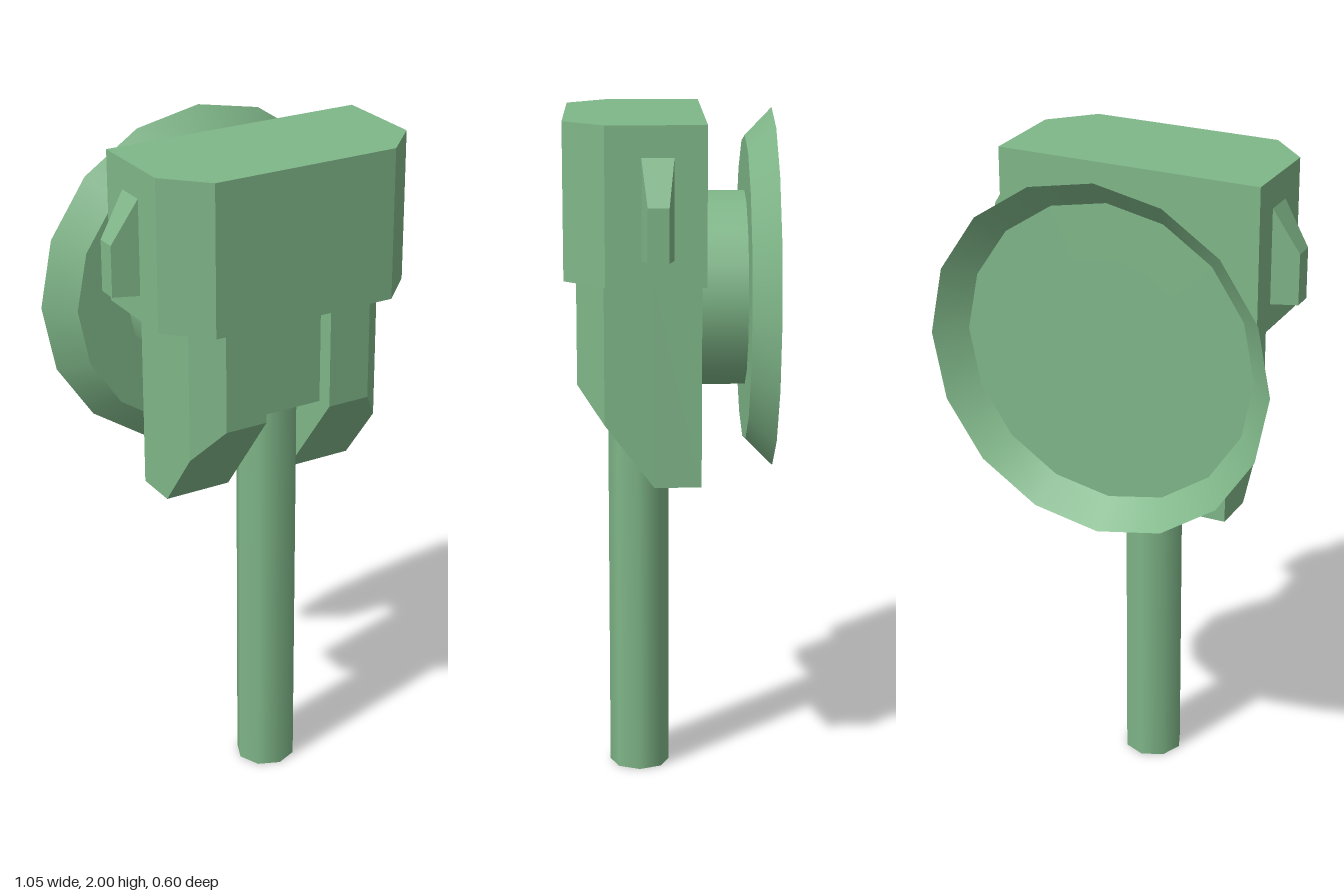
import * as THREE from 'three';
import { ConvexGeometry } from 'three/addons/geometries/ConvexGeometry.js';

const flat = new THREE.MeshStandardMaterial({ color: 0x7fb688, flatShading: true });
const smooth = new THREE.MeshStandardMaterial({ color: 0x7fb688 });
const thin = new THREE.MeshStandardMaterial({ color: 0x7fb688, side: THREE.DoubleSide });

// Upright prism from a plan outline of [x, z] points
function prism(plan, y0, y1) {
  const shape = new THREE.Shape(plan.map(([x, z]) => new THREE.Vector2(x, -z)));
  const geo = new THREE.ExtrudeGeometry(shape, { depth: y1 - y0, bevelEnabled: false });
  return geo.rotateX(-Math.PI / 2).translate(0, y0, 0);
}

export function createModel() {
  const model = new THREE.Group();
  model.name = 'dishOnPole';
  const add = (name, geo, mat, parent = model) => {
    const mesh = new THREE.Mesh(geo, mat);
    mesh.name = name;
    parent.add(mesh);
    return mesh;
  };

  // Pole, running up into the housing
  add('pole', new THREE.CylinderGeometry(0.09, 0.09, 1.4, 8).translate(0, 0.7, 0.087), smooth);

  // Head with chamfered front corners
  add('head', prism([[-0.4, -0.1], [0.4, -0.1], [0.4, 0.18], [0.285, 0.297],
    [-0.285, 0.297], [-0.4, 0.18]], 1.545, 1.988), flat);

  // Recessed block between the two legs
  add('centreBlock', prism([[-0.105, -0.09], [0.105, -0.09], [0.105, 0.21],
    [-0.105, 0.21]], 1.235, 1.545), flat);

  for (const s of [1, -1]) {
    const side = s > 0 ? 'left' : 'right';

    // Leg: square rear half and a front half whose underside slopes upward
    const leg = new THREE.Group();
    leg.name = side + 'Leg';
    model.add(leg);
    add(side + 'LegRear', prism([[0.105 * s, -0.09], [0.31 * s, -0.09],
      [0.31 * s, 0.045], [0.105 * s, 0.045]], 0.953, 1.545), flat, leg);
    const front = prism([[0.105 * s, 0.045], [0.31 * s, 0.045], [0.31 * s, 0.185],
      [0.235 * s, 0.263], [0.105 * s, 0.263]], 0.953, 1.545);
    const p = front.attributes.position;
    for (let i = 0; i < p.count; i++) {
      if (p.getY(i) < 1) p.setY(i, 0.953 + (p.getZ(i) - 0.045) * 0.285 / 0.218);
    }
    front.computeVertexNormals();
    add(side + 'LegFront', front, flat, leg);

    // Tapered lug on the side of the head
    const corners = [];
    for (const [x, yLow, yHigh, zBack, zFront] of [
      [0.4, 1.62, 1.9, -0.01, 0.08], [0.478, 1.625, 1.775, 0.005, 0.064]]) {
      for (const y of [yLow, yHigh]) for (const z of [zBack, zFront]) {
        corners.push(new THREE.Vector3(x * s, y, z));
      }
    }
    add(side + 'Lug', new ConvexGeometry(corners), flat);
  }

  // Neck and shallow dish opening to the rear
  const dishY = 1.475;
  add('neck', new THREE.CylinderGeometry(0.286, 0.286, 0.132, 16)
    .rotateX(Math.PI / 2).translate(0, dishY, -0.156), smooth);
  add('dishRim', new THREE.CylinderGeometry(0.446, 0.525, 0.076, 16, 1, true)
    .rotateX(Math.PI / 2).translate(0, dishY, -0.26), thin);
  add('dishFace', new THREE.CircleGeometry(0.446, 16).translate(0, dishY, -0.222), thin);

  return model;
}
